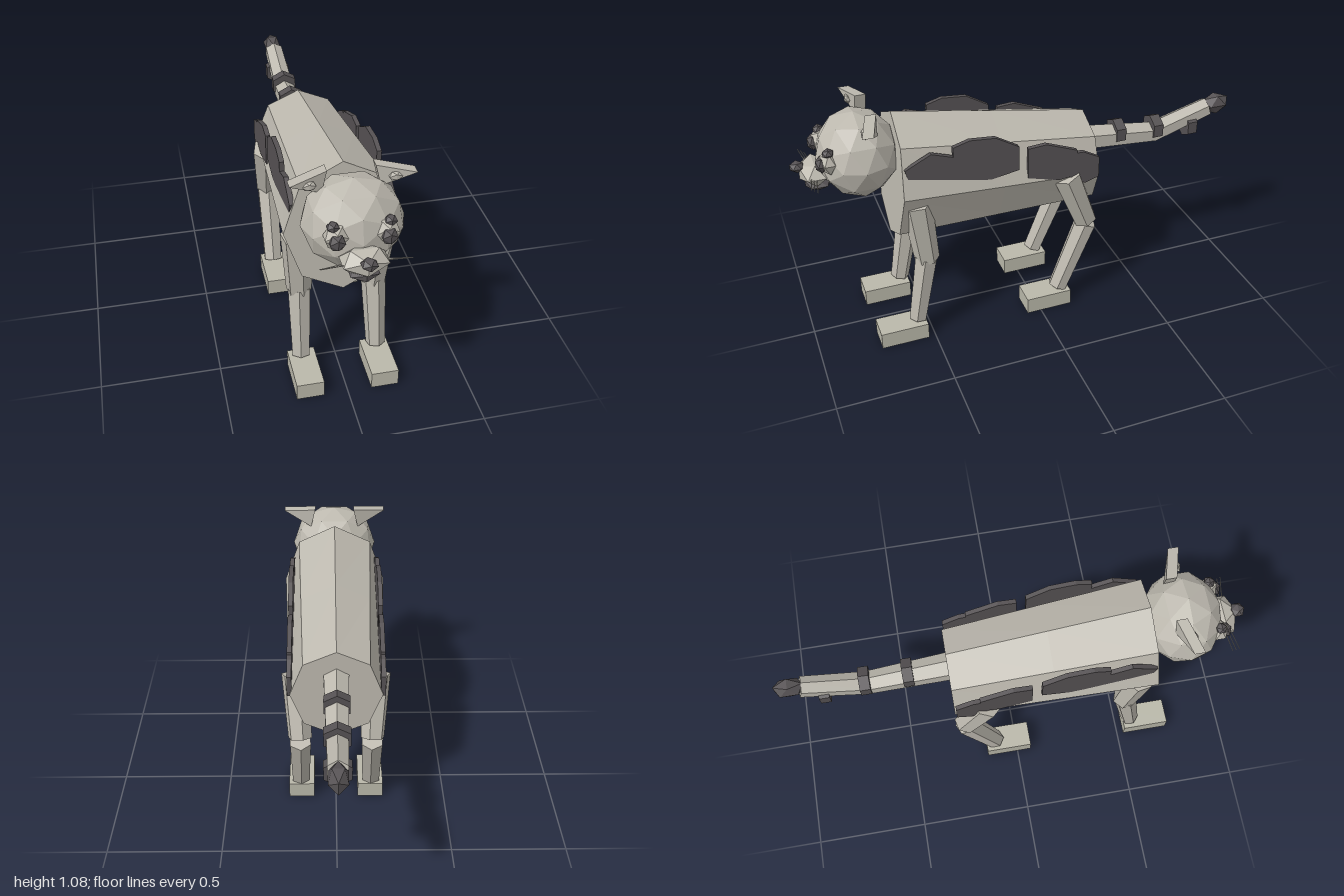
import * as THREE from 'three';

const mat = (name, color) => {
  const m = new THREE.MeshStandardMaterial({ color, flatShading: true });
  m.name = name;
  return m;
};

export function createModel() {
  const fur = mat('light fur', 0xbdb9af);
  const pawFur = mat('paw fur', 0xbab8aa);
  const dark = mat('dark markings', 0x565254);
  const model = new THREE.Group();

  const add = (name, geo, material, x = 0, y = 0, z = 0) => {
    const mesh = new THREE.Mesh(geo, material);
    mesh.name = name;
    mesh.position.set(x, y, z);
    model.add(mesh);
    return mesh;
  };
  // faceted ellipsoid
  const blob = (name, material, pos, size, detail = 0) =>
    add(name, new THREE.IcosahedronGeometry(1, detail), material, ...pos).scale.set(...size);
  // tapered prism between two points
  const limb = (name, a, b, ra, rb, sides = 6, material = fur) => {
    const p = new THREE.Vector3(...a), q = new THREE.Vector3(...b);
    const dir = q.clone().sub(p);
    const mesh = add(name, new THREE.CylinderGeometry(rb, ra, dir.length(), sides), material);
    mesh.position.copy(p).add(q).multiplyScalar(0.5);
    mesh.quaternion.setFromUnitVectors(new THREE.Vector3(0, 1, 0), dir.normalize());
  };
  // flat plate on a side of the body, outline in [z, y]
  const sidePlate = (name, outline, side) => {
    const shape = new THREE.Shape(outline.map(([z, y]) => new THREE.Vector2(-z, y)));
    const geo = new THREE.ExtrudeGeometry(shape, { depth: 0.02, bevelEnabled: false });
    geo.rotateY(Math.PI / 2);
    add(name, geo, dark, side > 0 ? 0.186 : -0.206);
  };

  // Body: octagonal barrel, taller and wider at the chest
  const body = new THREE.CylinderGeometry(1, 1, 1, 8, 2).rotateX(Math.PI / 2);
  const p = body.attributes.position;
  const { lerp } = THREE.MathUtils;
  for (let i = 0; i < p.count; i++) {
    const t = p.getZ(i) + 0.5, y = p.getY(i);
    p.setXYZ(i,
      p.getX(i) * lerp(0.195, 0.235, t),
      lerp(0.67, 0.745, t) + y * lerp(0.21, 0.285, t),
      lerp(-0.27, 0.597, t) - y * 0.022 * t);
  }
  add('body', body, fur);

  // Head and face
  blob('head', fur, [0, 0.875, 0.725], [0.196, 0.182, 0.168], 1);
  blob('muzzle', fur, [0, 0.825, 0.905], [0.1, 0.056, 0.07]);
  blob('nose', dark, [0, 0.855, 0.97], [0.034, 0.023, 0.032]);
  blob('mouth', dark, [0, 0.77, 0.895], [0.064, 0.025, 0.06]);

  for (const s of [1, -1]) {
    blob('eye', fur, [s * 0.094, 0.905, 0.855], [0.05, 0.054, 0.04]);
    blob('pupil', dark, [s * 0.095, 0.9, 0.885], [0.034, 0.036, 0.025]);
    blob('browSpot', dark, [s * 0.105, 0.948, 0.855], [0.026, 0.021, 0.025]);
    for (let i = -1; i <= 1; i++)
      limb('whisker', [s * 0.06, 0.825 + i * 0.004, 0.915 + i * 0.01],
        [s * 0.167, 0.828 + i * 0.009, 0.93 + i * 0.012], 0.0025, 0.0015, 4);

    // Ears: triangular plates swept forward at the outer tip
    const tri = [[0.235, 1.055], [0.09, 1.077], [0.11, 0.99]].map(([x, y]) => new THREE.Vector2(s * x, y));
    const ear = new THREE.ExtrudeGeometry(new THREE.Shape(tri), { depth: 0.045, bevelEnabled: false });
    const e = ear.attributes.position;
    for (let i = 0; i < e.count; i++)
      e.setZ(i, e.getZ(i) + 0.65 + (Math.abs(e.getX(i)) - 0.09) * 0.3);
    add('ear', ear, fur);
    blob('innerEar', fur, [s * 0.16, 1.036, 0.716], [0.03, 0.021, 0.014]);

    // Front leg
    limb('frontUpperLeg', [s * 0.172, 0.69, 0.535], [s * 0.157, 0.39, 0.502], 0.064, 0.053);
    limb('frontLowerLeg', [s * 0.157, 0.4, 0.505], [s * 0.162, 0.085, 0.562], 0.052, 0.041);
    add('frontPaw', new THREE.BoxGeometry(0.115, 0.075, 0.21), pawFur, s * 0.158, 0.0375, 0.635);

    // Rear leg
    limb('rearUpperLeg', [s * 0.172, 0.68, -0.125], [s * 0.157, 0.415, -0.23], 0.064, 0.053);
    limb('rearLowerLeg', [s * 0.157, 0.4, -0.23], [s * 0.162, 0.08, -0.1], 0.052, 0.044);
    add('rearPaw', new THREE.BoxGeometry(0.115, 0.075, 0.21), pawFur, s * 0.158, 0.0375, -0.04);

    // Flank spots
    sidePlate('shoulderSpot', [[0.58, 0.865], [0.47, 0.92], [0.37, 0.885], [0.37, 0.77], [0.56, 0.79]], s);
    sidePlate('flankSpot', [[0.38, 0.93], [0.31, 0.95], [0.2, 0.94], [0.1, 0.88], [0.1, 0.77],
      [0.22, 0.75], [0.38, 0.77]], s);
    sidePlate('hipSpot', [[0.06, 0.86], [-0.02, 0.865], [-0.16, 0.81], [-0.16, 0.69],
      [-0.08, 0.68], [0.06, 0.72]], s);
    sidePlate('rumpSpot', [[-0.1, 0.8], [-0.19, 0.795], [-0.263, 0.755], [-0.263, 0.66],
      [-0.2, 0.64], [-0.12, 0.69]], s);
  }

  // Tail with bands and a dark tip
  limb('tailBase', [0, 0.745, -0.22], [0, 0.7, -0.63], 0.062, 0.05);
  limb('tailEnd', [0, 0.698, -0.61], [0, 0.78, -0.89], 0.05, 0.045);
  for (const [y, z] of [[0.745, -0.44], [0.73, -0.625], [0.712, -0.8]]) {
    const band = new THREE.CylinderGeometry(0.062, 0.062, 0.045, 6).rotateX(Math.PI / 2);
    add('tailBand', band, dark, 0, y, z).scale.y = 0.92;
  }
  blob('tailTip', dark, [0, 0.79, -0.935], [0.044, 0.05, 0.073]);

  return model;
}
